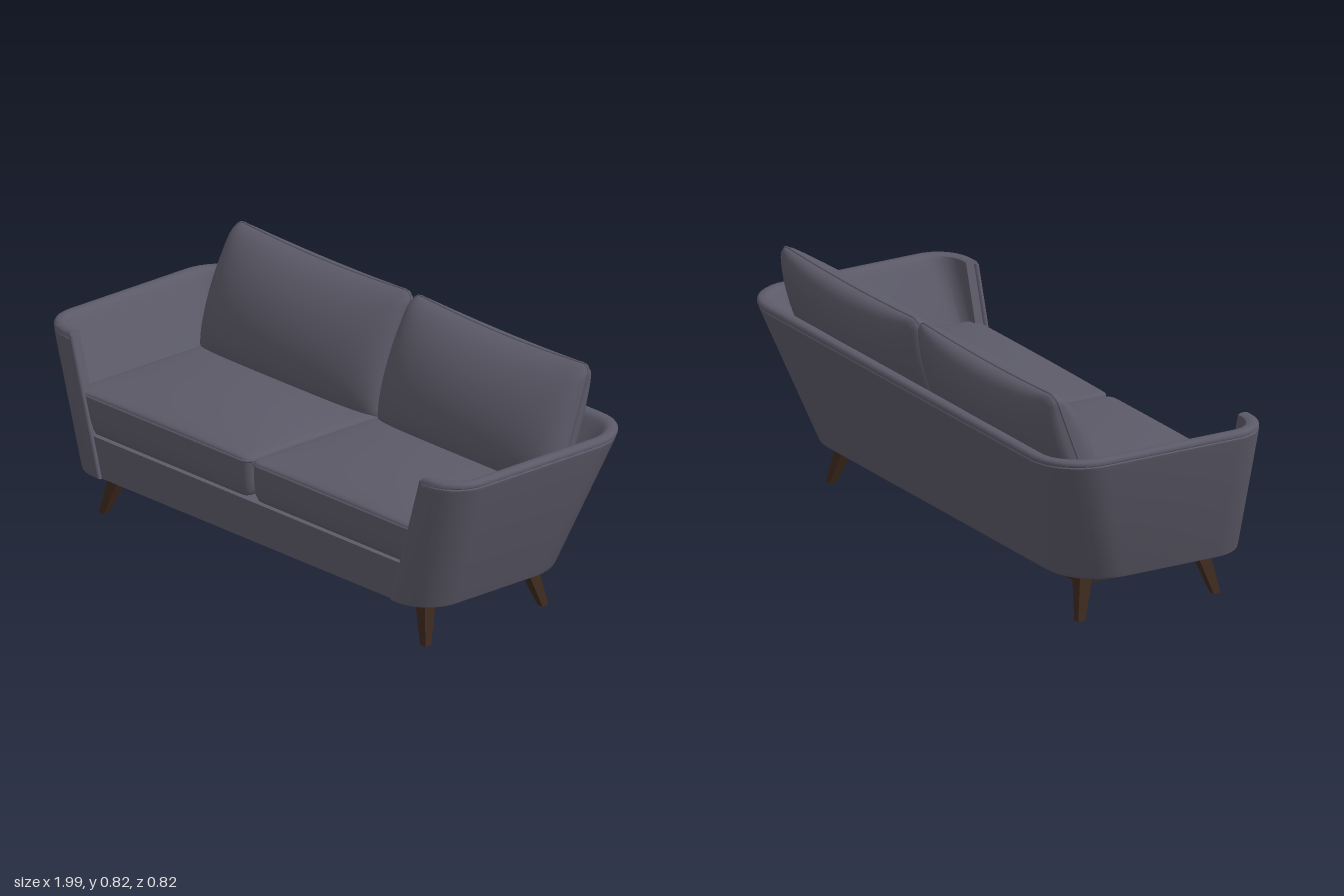
import * as THREE from 'three';
import { mergeVertices, toCreasedNormals } from 'three/addons/utils/BufferGeometryUtils.js';

const fabric = new THREE.MeshStandardMaterial({ color: 0x5c5a68 });
fabric.name = 'slate fabric';
const wood = new THREE.MeshStandardMaterial({ color: 0x3d2a1d });
wood.name = 'dark wood';
const lining = new THREE.MeshStandardMaterial({ color: 0x53555d });
lining.name = 'grey lining';

function add(parent, name, geometry, material, x = 0, y = 0, z = 0) {
  const mesh = new THREE.Mesh(geometry, material);
  mesh.name = name;
  mesh.position.set(x, y, z);
  parent.add(mesh);
  return mesh;
}

function indexed(points, index) {
  const g = new THREE.BufferGeometry();
  g.setAttribute('position', new THREE.Float32BufferAttribute(points.flatMap(p => [p.x, p.y, p.z]), 3));
  g.setIndex(index);
  return g;
}

const FLOOR = 0.155, FRONT = 0.41;
const rise = y => (y - FLOOR) / 0.465;
const endX = y => 0.70 + 0.14 * rise(y);

// Plan outline of the flared wall at height y, inset by d, from left arm end to right arm end
function wallPath(d, y) {
  const k = rise(y), w = 0.86 + 0.14 * k - d, back = -0.255 - 0.155 * k + d, front = FRONT - Math.min(d, 0.045);
  const rf = Math.max(0.135 - d, 0.01), rb = Math.max(0.18 - d, 0.03), n = 10;
  const half = [new THREE.Vector3(endX(y), y, front)];
  for (let i = 0; i <= n; i++) {
    const a = Math.PI / 2 * (1 - i / n);
    half.push(new THREE.Vector3(w - rf + rf * Math.cos(a), y, front - rf + rf * Math.sin(a)));
  }
  for (let i = 0; i <= n; i++) {
    const a = -Math.PI / 2 * i / n;
    half.push(new THREE.Vector3(w - rb + rb * Math.cos(a), y, back + rb + rb * Math.sin(a)));
  }
  const mirrored = half.map(p => new THREE.Vector3(-p.x, p.y, p.z)).reverse();
  return [...half, ...mirrored];
}

// Wraparound arms and back: a wall section swept along the outline, with closed ends
function shellGeometry() {
  const section = [[0.15, 0.155], [0.008, 0.155], [0.001, 0.159], [0, 0.168], [0, 0.59], [0.001, 0.602],
    [0.005, 0.606], [0.001, 0.609], [0.002, 0.615], [0.007, 0.622], [0.016, 0.627], [0.036, 0.627],
    [0.045, 0.622], [0.05, 0.612], [0.057, 0.59], [0.148, 0.17]];
  const rows = section.map(([d, y]) => wallPath(d, y));
  const m = rows.length, n = rows[0].length, points = rows.flat(), index = [];
  const at = (i, j) => (j % m) * n + i;
  for (let i = 0; i < n - 1; i++) for (let j = 0; j < m; j++) {
    const a = at(i, j), b = at(i + 1, j), c = at(i + 1, j + 1), d = at(i, j + 1);
    index.push(a, b, c, a, c, d);
  }
  for (const i of [0, n - 1]) {
    const centre = new THREE.Vector3();
    rows.forEach(r => centre.addScaledVector(r[i], 1 / m));
    const c = points.push(centre) - 1;
    for (let j = 0; j < m; j++) {
      if (i === 0) index.push(c, at(i, j), at(i, j + 1));
      else index.push(c, at(i, j + 1), at(i, j));
    }
  }
  return toCreasedNormals(indexed(points, index), 0.7);
}

// Point on a rounded rectangle for s, t in -1..1
function roundedPoint(s, t, hw, hh, r) {
  const x = s * hw, y = t * hh;
  const cx = THREE.MathUtils.clamp(x, r - hw, hw - r), cy = THREE.MathUtils.clamp(y, r - hh, hh - r);
  const dx = x - cx, dy = y - cy, len = Math.hypot(dx, dy);
  const f = len > 0 ? Math.max(Math.abs(dx), Math.abs(dy)) / len : 1;
  return [cx + dx * f, cy + dy * f];
}

const N = 32;
const ease = i => Math.sin(Math.PI / 2 * (2 * i / N - 1));

// Cushion from two bulging faces meeting at a seam; place(s, t, side) gives a point
function cushionGeometry(place) {
  const points = [], index = [];
  for (const side of [1, -1]) {
    const base = points.length;
    for (let j = 0; j <= N; j++) for (let i = 0; i <= N; i++) points.push(place(ease(i), ease(j), side));
    for (let j = 0; j < N; j++) for (let i = 0; i < N; i++) {
      const a = base + j * (N + 1) + i, b = a + 1, c = b + N + 1, d = a + N + 1;
      if (side > 0) index.push(a, b, c, a, c, d);
      else index.push(a, c, b, a, d, c);
    }
  }
  const g = mergeVertices(indexed(points, index));
  g.computeVertexNormals();
  return g;
}

// Piping that follows the seam of a cushion
function pipingGeometry(place, radius) {
  const path = [];
  for (let q = 0; q < 4; q++) for (let i = 0; i < N; i++) {
    const e = ease(i);
    path.push(place(...[[e, -1], [1, e], [-e, 1], [-1, -e]][q], 0));
  }
  return new THREE.TubeGeometry(new THREE.CatmullRomCurve3(path, true), 160, radius, 6, true);
}

const fullness = (v, p, e) => Math.pow(Math.max(0, 1 - Math.pow(Math.abs(v), p)), e);

function seatPoint(s, t, side) {
  const [x, y] = roundedPoint(s, t, 0.414, 0.322, 0.035);
  const edge = fullness(s, 50, 0.4) * fullness(t, 50, 0.4);
  const crown = 0.033 * fullness(s, 2, 0.8) * fullness(t, 2, 0.8);
  const h = side > 0 ? 0.012 * edge + crown : side < 0 ? -0.13 * edge : 0;
  return new THREE.Vector3(x, 0.418 + h, -y);
}

function pillowPoint(s, t, side) {
  const [x, y0] = roundedPoint(s, t, 0.421, 0.208, 0.035);
  const y = 0.608 + y0 - 0.014 * (1 - s * s) * (t + 1) / 2;
  const puff = fullness(s, 2, 0.33) * fullness(t, 2, 0.48);
  const depth = side > 0 ? 0.142 * puff : side < 0 ? -0.115 * puff : 0;
  return new THREE.Vector3(x, y, -0.255 - 0.37 * (y - 0.625) + depth);
}

// Square tapered leg, splayed outward toward its corner
function legGeometry(sx, sz) {
  const g = new THREE.CylinderGeometry(0.036, 0.018, FLOOR, 4).rotateY(Math.PI / 4).toNonIndexed();
  const p = g.attributes.position;
  for (let i = 0; i < p.count; i++) {
    const down = 0.5 - p.getY(i) / FLOOR;
    p.setXYZ(i, p.getX(i) + sx * (0.724 + 0.044 * down), p.getY(i) + FLOOR / 2,
      p.getZ(i) + 0.0675 + sz * (0.216 + 0.039 * down));
  }
  g.computeVertexNormals();
  return g;
}

// Octagonal ring of rails
function frameGeometry() {
  const octagon = (w, h, c) => [[w, c - h], [w, h - c], [w - c, h], [c - w, h], [-w, h - c], [-w, c - h],
    [c - w, -h], [w - c, -h]].map(([x, y]) => new THREE.Vector2(x, y));
  const shape = new THREE.Shape(octagon(0.742, 0.236, 0.045));
  shape.holes.push(new THREE.Path(octagon(0.712, 0.206, 0.036)));
  return new THREE.ExtrudeGeometry(shape, { depth: 0.045, bevelEnabled: false }).rotateX(-Math.PI / 2);
}

export function createModel() {
  const sofa = new THREE.Group();
  sofa.name = 'sofa';

  add(sofa, 'armsAndBack', shellGeometry(), fabric);
  add(sofa, 'seatBase', new THREE.BoxGeometry(1.48, 0.135, 0.615), fabric, 0, 0.2235, 0.0875);
  add(sofa, 'bottomLining', new THREE.BoxGeometry(1.54, 0.006, 0.58), lining, 0, 0.156, 0.085);

  // Piping down the inner edge of each arm front
  for (const side of [1, -1]) {
    const edge = new THREE.LineCurve3(new THREE.Vector3(side * endX(0.16), 0.16, 0.404),
      new THREE.Vector3(side * endX(0.614), 0.614, 0.402));
    add(sofa, 'armPiping', new THREE.TubeGeometry(edge, 1, 0.008, 8), fabric);
  }

  // Two seat cushions and two back pillows
  const seat = cushionGeometry(seatPoint), seatPiping = pipingGeometry(seatPoint, 0.005);
  const pillow = cushionGeometry(pillowPoint), pillowPiping = pipingGeometry(pillowPoint, 0.004);
  for (const side of [1, -1]) {
    add(sofa, 'seatCushion', seat, fabric, side * 0.418, 0, 0.0725);
    add(sofa, 'seatCushionPiping', seatPiping, fabric, side * 0.418, 0, 0.0725);
    add(sofa, 'backPillow', pillow, fabric, side * 0.424);
    add(sofa, 'backPillowPiping', pillowPiping, fabric, side * 0.424);
  }

  // Wooden underframe
  add(sofa, 'railFrame', frameGeometry(), wood, 0, 0.111, 0.0675);
  add(sofa, 'crossRail', new THREE.BoxGeometry(0.035, 0.04, 0.43), wood, 0, 0.133, 0.0675);
  for (const sx of [1, -1]) for (const sz of [1, -1]) add(sofa, 'leg', legGeometry(sx, sz), wood);

  return sofa;
}
